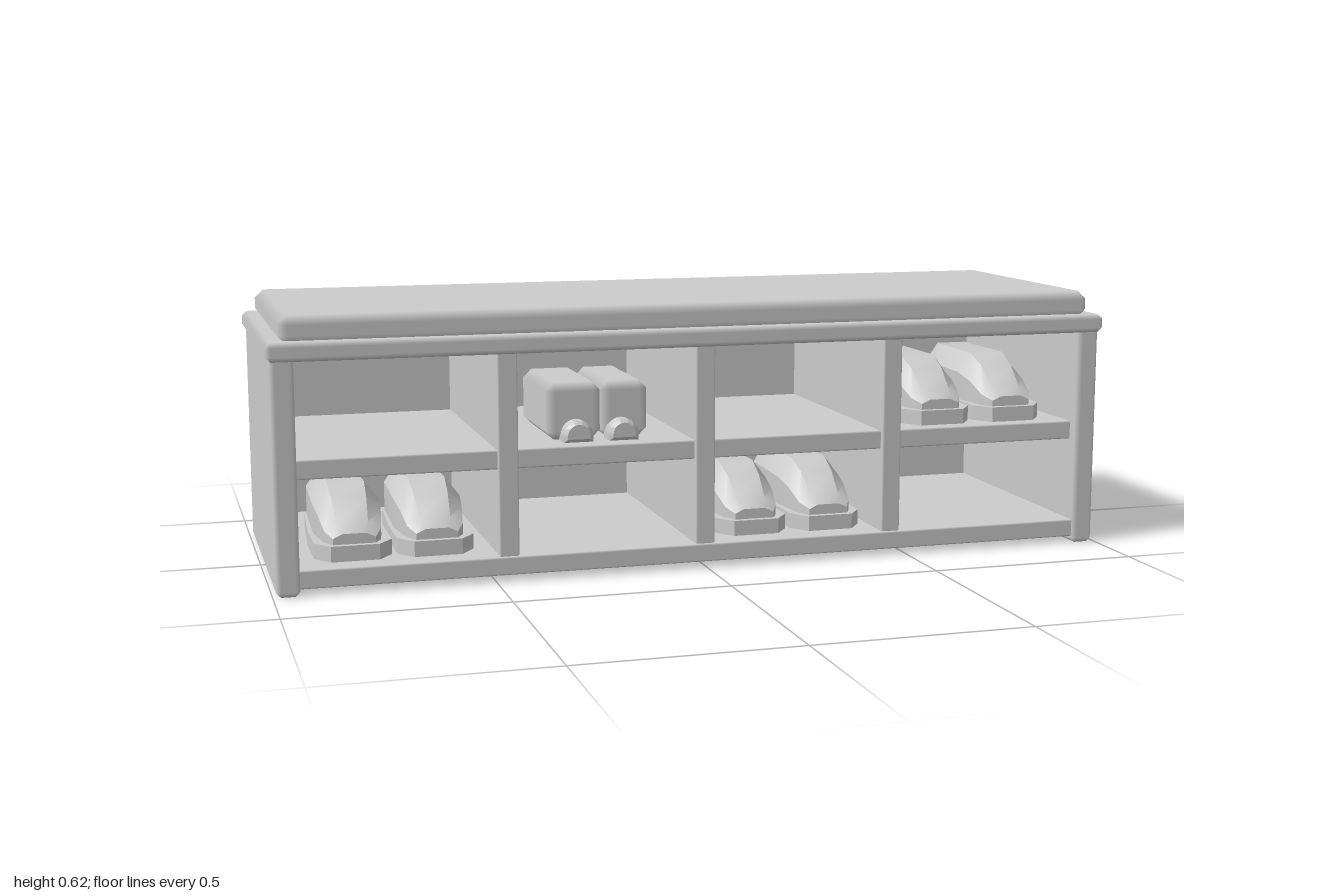
import * as THREE from 'three';
import { toCreasedNormals } from 'three/addons/utils/BufferGeometryUtils.js';

const grey = new THREE.MeshStandardMaterial({ color: 0xcccccc });
grey.name = 'light grey';

function add(parent, name, geometry, x = 0, y = 0, z = 0) {
  const mesh = new THREE.Mesh(geometry, grey);
  mesh.name = name;
  mesh.position.set(x, y, z);
  parent.add(mesh);
  return mesh;
}

// Box with 45 degree chamfers; flat faces blend smoothly across the edges
function chamferBox(w, h, d, c) {
  const half = [w / 2, h / 2, d / 2];
  const pos = [], nor = [], index = [];
  const signs = [-1, 1];
  for (const sx of signs) for (const sy of signs) for (const sz of signs) {
    const s = [sx, sy, sz];
    for (let a = 0; a < 3; a++) {
      for (let k = 0; k < 3; k++) {
        pos.push(s[k] * (half[k] - (k === a ? 0 : c)));
        nor.push(k === a ? s[k] : 0);
      }
    }
  }
  const id = (s, a) => ((s[0] > 0 ? 4 : 0) + (s[1] > 0 ? 2 : 0) + (s[2] > 0 ? 1 : 0)) * 3 + a;
  const point = (i) => new THREE.Vector3().fromArray(pos, i * 3);
  const tri = (i, j, k) => {
    const p = point(i);
    const n = point(j).sub(p).cross(point(k).sub(p));
    const outward = n.dot(p.add(point(j)).add(point(k))) > 0;
    index.push(i, outward ? j : k, outward ? k : j);
  };
  const quad = (i, j, k, l) => { tri(i, j, k); tri(i, k, l); };
  for (let a = 0; a < 3; a++) {
    const b = (a + 1) % 3, e = (a + 2) % 3;
    const at = (sa, sb, se) => { const s = []; s[a] = sa; s[b] = sb; s[e] = se; return s; };
    for (const s of signs) {
      quad(id(at(s, -1, -1), a), id(at(s, 1, -1), a), id(at(s, 1, 1), a), id(at(s, -1, 1), a));
      for (const t of signs) {
        quad(id(at(-1, s, t), b), id(at(1, s, t), b), id(at(1, s, t), e), id(at(-1, s, t), e));
      }
    }
  }
  for (let i = 0; i < 24; i += 3) tri(i, i + 1, i + 2);
  const g = new THREE.BufferGeometry();
  g.setAttribute('position', new THREE.Float32BufferAttribute(pos, 3));
  g.setAttribute('normal', new THREE.Float32BufferAttribute(nor, 3));
  g.setIndex(index);
  return g;
}

// Chamfered box given by its limits on each axis
function board(parent, name, [x0, x1], [y0, y1], [z0, z1], c) {
  return add(parent, name, chamferBox(x1 - x0, y1 - y0, z1 - z0, c),
    (x0 + x1) / 2, (y0 + y1) / 2, (z0 + z1) / 2);
}

// Shoe upper: chamfered arch sections [z, half width, height] from heel to toe
function upperGeometry() {
  const sections = [
    [-0.15, 0.05, 0.13], [-0.11, 0.07, 0.15], [0.1, 0.078, 0.15],
    [0.16, 0.072, 0.125], [0.215, 0.064, 0.08], [0.245, 0.048, 0.06],
  ];
  const n = 6, pos = [], index = [];
  for (const [z, w, h] of sections) {
    const shoulder = 0.035 + (h - 0.035) * 0.6;
    for (const [x, y] of [[w, 0.03], [w, shoulder], [w * 0.55, h],
      [-w * 0.55, h], [-w, shoulder], [-w, 0.03]]) pos.push(x, y, z);
  }
  for (let s = 0; s < sections.length - 1; s++) {
    for (let i = 0; i < n; i++) {
      const a = s * n + i, b = s * n + (i + 1) % n;
      index.push(a, b, b + n, a, b + n, a + n);
    }
  }
  const last = (sections.length - 1) * n;
  for (let i = 1; i < n - 1; i++) {
    index.push(0, i + 1, i, last, last + i, last + i + 1);
  }
  const g = new THREE.BufferGeometry();
  g.setAttribute('position', new THREE.Float32BufferAttribute(pos, 3));
  g.setIndex(index);
  return toCreasedNormals(g, 0.6);
}

// Sole: outline with clipped toe and heel corners
function soleGeometry() {
  const outline = [[-0.055, -0.26], [0.055, -0.26], [0.088, -0.215], [0.088, -0.08],
    [0.075, 0.12], [0.05, 0.16], [-0.05, 0.16], [-0.075, 0.12], [-0.088, -0.08], [-0.088, -0.215]];
  const shape = new THREE.Shape(outline.map(([x, y]) => new THREE.Vector2(x, y)));
  const g = new THREE.ExtrudeGeometry(shape, { depth: 0.036, bevelEnabled: false });
  return g.rotateX(-Math.PI / 2);
}

// Rounded toe of a boot, an arch pushed forward
function archGeometry(r) {
  const shape = new THREE.Shape();
  shape.moveTo(-r, 0);
  shape.lineTo(r, 0);
  shape.lineTo(r, 0.015);
  shape.absarc(0, 0.015, r, 0, Math.PI, false);
  const g = new THREE.ExtrudeGeometry(shape, {
    depth: 0.05, curveSegments: 8, bevelSize: 0.008, bevelOffset: -0.008,
    bevelThickness: 0.008, bevelSegments: 1,
  });
  return toCreasedNormals(g, 0.6);
}

export function createModel() {
  const model = new THREE.Group();
  model.name = 'shoeBench';

  // Cushion and top
  board(model, 'cushion', [-0.97, 0.97], [0.555, 0.62], [-0.318, 0.318], 0.02);
  board(model, 'topBoard', [-1, 1], [0.522, 0.565], [-0.341, 0.341], 0.011);

  // Case
  for (const s of [-1, 1]) {
    const x = [s * 0.992, s * 0.94].sort((a, b) => a - b);
    board(model, s > 0 ? 'leftSide' : 'rightSide', x, [0, 0.53], [-0.332, 0.332], 0.01);
  }
  board(model, 'bottomBoard', [-0.945, 0.945], [0.015, 0.057], [-0.322, 0.322], 0.004);
  board(model, 'backPanel', [-0.945, 0.945], [0.018, 0.53], [-0.322, -0.305], 0.003);

  // Dividers and the shelf in each bay
  for (const x of [-0.468, -0.003, 0.462]) {
    board(model, 'divider', [x - 0.023, x + 0.023], [0.055, 0.525], [-0.31, 0.315], 0.004);
  }
  const walls = [-0.942, -0.468, -0.003, 0.462, 0.942];
  for (let i = 0; i < 4; i++) {
    board(model, 'shelf', [walls[i], walls[i + 1]], [0.256, 0.3], [-0.31, 0.3], 0.004);
  }

  // Pairs of shoes, toes forward
  const upper = upperGeometry(), sole = soleGeometry();
  for (const [x, y] of [[-0.715, 0.057], [0.235, 0.057], [0.71, 0.3]]) {
    for (const s of [-1, 1]) {
      const shoe = new THREE.Group();
      shoe.name = 'shoe';
      add(shoe, 'shoeUpper', upper);
      add(shoe, 'shoeSole', sole);
      shoe.position.set(x + s * 0.094, y, 0);
      model.add(shoe);
    }
  }

  // Pair of boots on the second shelf
  for (const [x0, x1, toeX] of [[-0.357, -0.227, -0.29], [-0.227, -0.115, -0.182]]) {
    const boot = new THREE.Group();
    boot.name = 'boot';
    board(boot, 'bootShaft', [x0, x1], [0.3, 0.434], [-0.06, 0.22], 0.02);
    add(boot, 'bootToe', archGeometry(0.035), toeX, 0.3, 0.2);
    model.add(boot);
  }
  return model;
}
